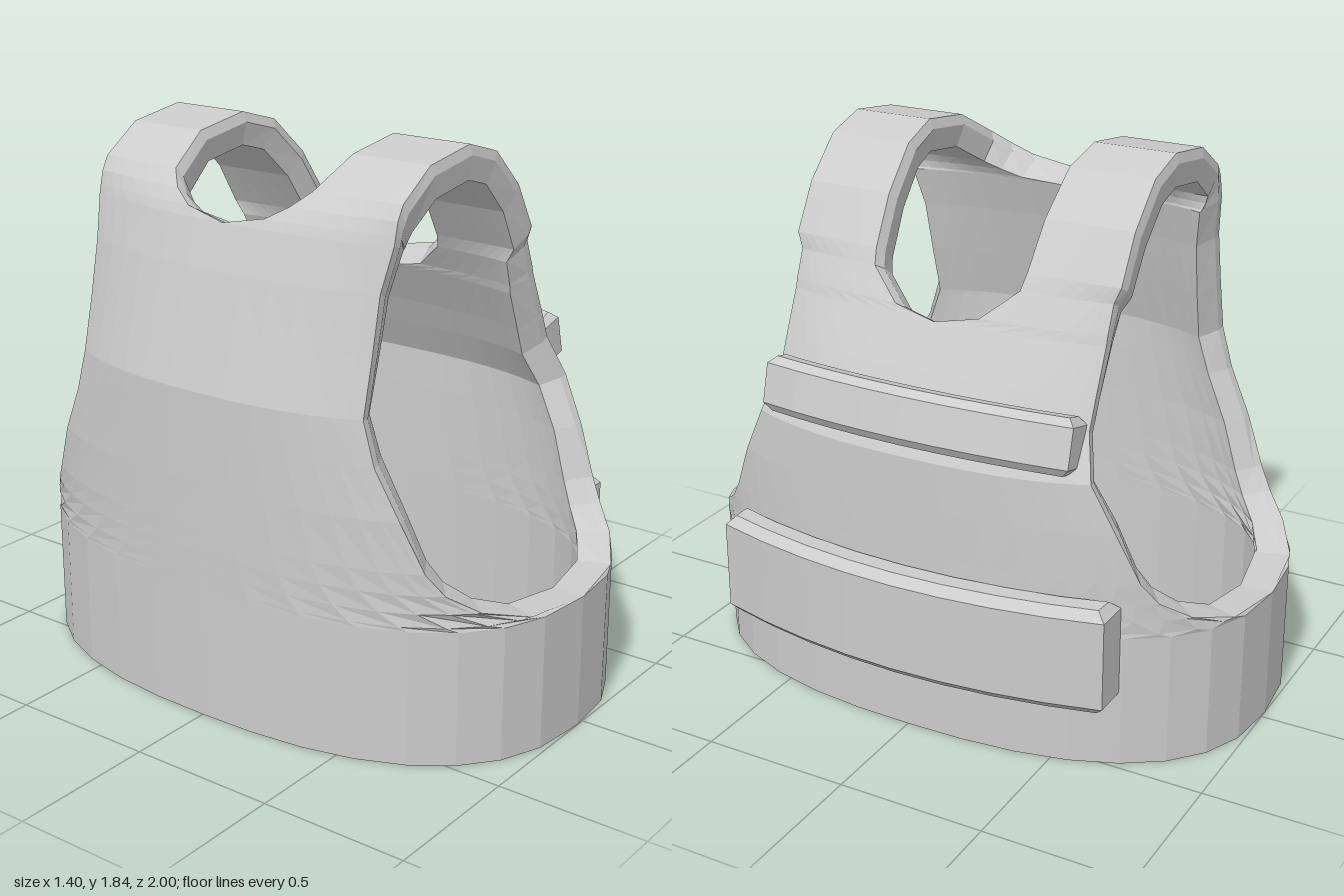
import * as THREE from 'three';

const XC = -0.03;      // middle of the torso, where chest and back meet at the sides
const WALL = 0.11;     // padding thickness
const COLS = 8;
const POWER = 2.5;     // squareness of the torso's plan

// Waist and ribs, shared by chest and back: [y, arm-side z, roundness]
const LOWER = [
  [0, 1, 1], [0.22, 1, 1], [0.45, 1, 1], [0.465, 0.965, 1], [0.51, 0.88, 1],
  [0.57, 0.8, 1], [0.64, 0.75, 1], [0.8, 0.68, 1.05], [0.96, 0.6, 1.25],
];
// Upper chest, over the shoulder, upper back: [x, y, neck-side z, roundness]
const UPPER = [
  [0.53, 1.1, 0, 1.6], [0.48, 1.2, 0, 1.6], [0.4, 1.34, 0, 1.5], [0.385, 1.37, 0.15, 1.4],
  [0.33, 1.46, 0.26, 1.1], [0.3, 1.51, 0.27, 0.5], [0.2, 1.66, 0.28, 0.2], [0.06, 1.79, 0.29, 0],
  [-0.09, 1.835, 0.3, 0], [-0.3, 1.805, 0.3, 0], [-0.46, 1.715, 0.27, 0.5], [-0.51, 1.67, 0.22, 0.9],
  [-0.54, 1.63, 0.15, 1.2], [-0.555, 1.6, 0, 1.3], [-0.6, 1.46, 0, 1.4], [-0.65, 1.28, 0, 1.5],
  [-0.7, 1.1, 0, 1.5],
];
const lowerRow = (x) => ([y, arm, round]) => ({ x, y, neck: 0, arm, round });
const ROWS = [
  ...LOWER.map(lowerRow(0.6)),
  ...UPPER.map(([x, y, neck, round]) => ({ x, y, neck, arm: y > 1.5 ? 0.58 : 0.56, round })),
  ...LOWER.map(lowerRow(-0.7)).reverse(),
];

// Outer point and its padded inner partner for row i, column j
function shellPoint(i, j) {
  const { x, y, neck, arm, round } = ROWS[i];
  const z = j === COLS ? arm : neck + (arm - neck) * Math.sin((j / COLS) * Math.PI / 2);
  const f = Math.pow(Math.max(0, 1 - Math.pow(z, POWER)), 1 / POWER);
  const outer = new THREE.Vector3(XC + (x - XC) * (1 - round * (1 - f)), y, z);
  const a = ROWS[Math.max(0, i - 1)], b = ROWS[Math.min(ROWS.length - 1, i + 1)];
  const path = new THREE.Vector2(b.y - a.y, a.x - b.x).normalize();
  const plan = new THREE.Vector2(
    Math.pow(f, POWER - 1) / Math.max(0.3, Math.abs(x - XC)), round * Math.pow(z, POWER - 1)).normalize();
  const normal = new THREE.Vector3(path.x * plan.x, path.y, Math.abs(path.x) * plan.y).normalize();
  return { outer, inner: outer.clone().addScaledVector(normal, -WALL) };
}

function shellGeometry() {
  const grid = ROWS.map((_, i) => Array.from({ length: COLS + 1 }, (_, j) => shellPoint(i, j)));
  const positions = [];
  const tri = (...pts) => pts.forEach((p) => positions.push(p.x, p.y, p.z));
  // Each quad is added together with its mirror image
  const quad = (a, b, c, d) => {
    tri(a, b, c, a, c, d);
    const [e, f, g, h] = [a, b, c, d].map((p) => new THREE.Vector3(p.x, p.y, -p.z));
    tri(e, g, f, e, h, g);
  };
  // Chamfer point of an open edge, pushed slightly into the opening
  const lip = (i, j, dz) => {
    const { outer, inner } = grid[i][j];
    const p = outer.clone().lerp(inner, 0.3);
    p.z += dz;
    return p;
  };
  const armLip = (i) => lip(i, COLS, ROWS[i].arm < 0.7 ? 0.01 : 0);
  const neckLip = (i) => lip(i, 0, ROWS[i].neck > 0 ? -0.015 : 0);
  const last = ROWS.length - 1;
  for (let i = 0; i < last; i++) {
    const r = grid[i], s = grid[i + 1];
    for (let j = 0; j < COLS; j++) {
      quad(r[j].outer, s[j].outer, s[j + 1].outer, r[j + 1].outer);
      quad(r[j].inner, r[j + 1].inner, s[j + 1].inner, s[j].inner);
    }
    // Armhole rim
    if (ROWS[i].arm < 1 || ROWS[i + 1].arm < 1) {
      const p = armLip(i), q = armLip(i + 1);
      quad(r[COLS].outer, s[COLS].outer, q, p);
      quad(p, q, s[COLS].inner, r[COLS].inner);
    }
    // Neck rim
    if (ROWS[i].neck > 0 || ROWS[i + 1].neck > 0) {
      const p = neckLip(i), q = neckLip(i + 1);
      quad(r[0].outer, p, q, s[0].outer);
      quad(p, r[0].inner, s[0].inner, q);
    }
  }
  // Waist hem
  for (let j = 0; j < COLS; j++) {
    const a = grid[0], b = grid[last];
    quad(a[j].outer, a[j + 1].outer, a[j + 1].inner, a[j].inner);
    quad(b[j].outer, b[j].inner, b[j + 1].inner, b[j + 1].outer);
  }
  const geometry = new THREE.BufferGeometry();
  geometry.setAttribute('position', new THREE.Float32BufferAttribute(positions, 3));
  geometry.computeVertexNormals();
  return geometry;
}

// Chamfered bar curved around the chest; its outer middle is at the origin
function curvedBar(halfLength, height, thickness, sag, bevel) {
  const outer = [], inner = [];
  for (let i = 0; i <= 8; i++) {
    const t = i / 4 - 1;
    outer.push(new THREE.Vector2(-sag * t * t, t * halfLength));
    inner.unshift(new THREE.Vector2(-sag * t * t - thickness, t * halfLength));
  }
  const geometry = new THREE.ExtrudeGeometry(new THREE.Shape([...outer, ...inner]), {
    depth: height - 2 * bevel, bevelEnabled: true, bevelSegments: 1,
    bevelSize: bevel, bevelThickness: bevel, bevelOffset: -bevel,
  });
  geometry.translate(0, 0, bevel - height / 2);
  geometry.rotateX(Math.PI / 2);
  return geometry;
}

export function createModel() {
  const group = new THREE.Group();
  const material = new THREE.MeshStandardMaterial({
    color: 0xcccccc, flatShading: true, side: THREE.DoubleSide });
  const add = (name, geometry, x, y, tilt = 0) => {
    const mesh = new THREE.Mesh(geometry, material);
    mesh.name = name;
    mesh.position.set(x, y, 0);
    mesh.rotation.z = tilt;
    group.add(mesh);
  };
  add('vestShell', shellGeometry(), 0, 0);
  add('lowerChestPouch', curvedBar(0.7, 0.36, 0.12, 0.1, 0.03), 0.7, 0.41);
  add('upperChestStrap', curvedBar(0.55, 0.18, 0.1, 0.08, 0.025), 0.62, 1.1, 0.25);
  return group;
}
